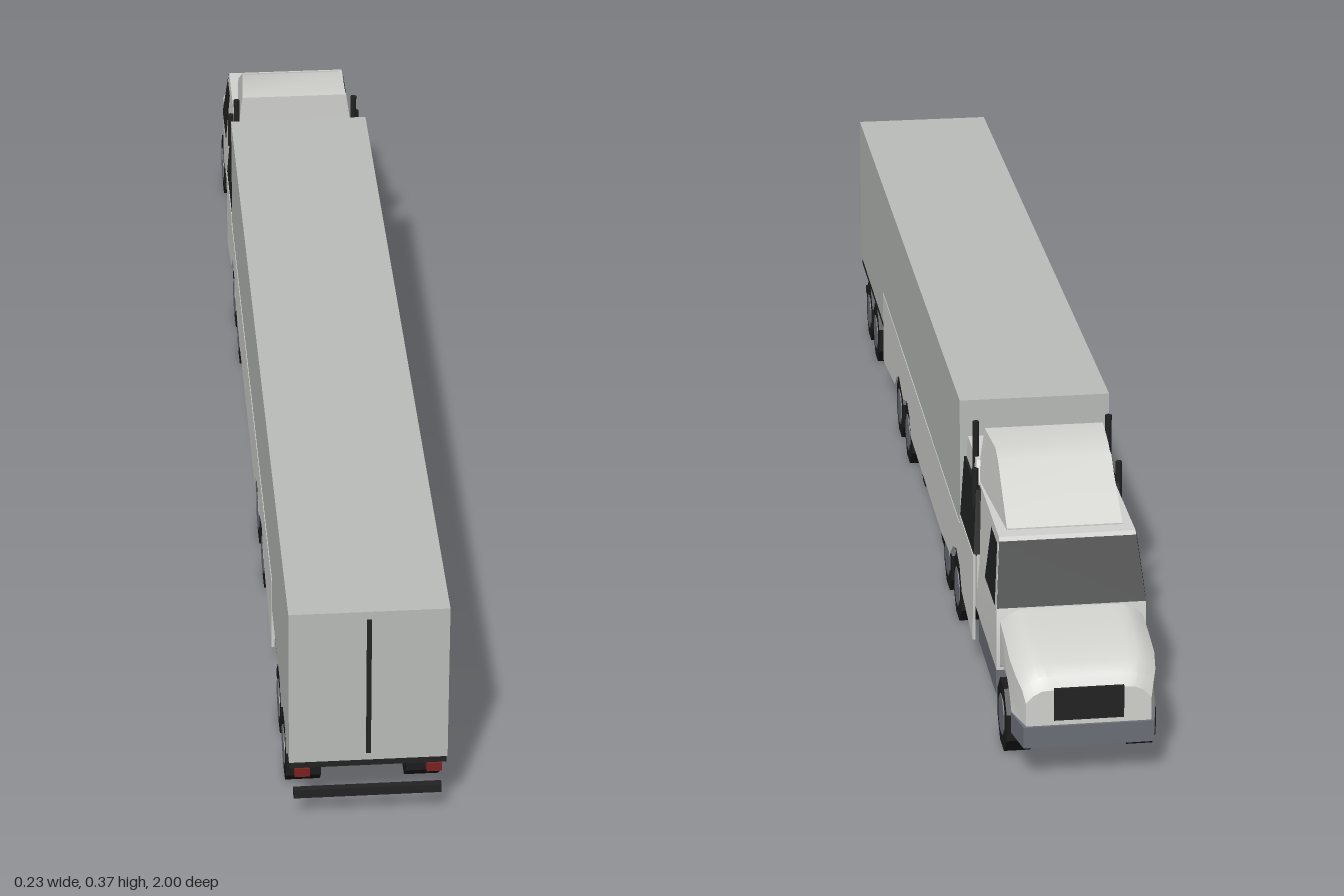
import * as THREE from 'three';
import { toCreasedNormals } from 'three/addons/utils/BufferGeometryUtils.js';

export function createModel() {
  const root = new THREE.Group();
  root.name = 'semiTruck';
  const mat = (name, color, side = THREE.FrontSide) => {
    const m = new THREE.MeshStandardMaterial({ color, side });
    m.name = name;
    return m;
  };
  const trailerPaint = mat('trailerPaint', 0xbabdb9);
  const cabPaint = mat('cabPaint', 0xd2d3cf);
  const black = mat('chassisBlack', 0x232323);
  const rubber = mat('tyreRubber', 0x1c1c1c);
  const glass = mat('darkGlass', 0x202122, THREE.DoubleSide);
  const steel = mat('greySteel', 0x6d7079);
  const red = mat('lampRed', 0x7c2222);

  const add = (name, geo, m) => {
    const mesh = new THREE.Mesh(geo, m);
    mesh.name = name;
    root.add(mesh);
    return mesh;
  };
  // Box from its low and high limits on each axis
  const box = (name, m, x0, x1, y0, y1, z0, z1) =>
    add(name, new THREE.BoxGeometry(x1 - x0, y1 - y0, z1 - z0), m)
      .position.set((x0 + x1) / 2, (y0 + y1) / 2, (z0 + z1) / 2);
  const pair = (name, m, x0, x1, ...rest) => {
    box('left' + name, m, x0, x1, ...rest);
    box('right' + name, m, -x1, -x0, ...rest);
  };
  // Side profile in (z, y), swept across x and reshaped by an optional rule
  const sweep = (profile, halfWidth, rule, steps = 1) => {
    const shape = profile instanceof THREE.Shape ? profile
      : new THREE.Shape(profile.map(p => new THREE.Vector2(...p)));
    const g = new THREE.ExtrudeGeometry(shape, { depth: 2 * halfWidth, bevelEnabled: false, steps, curveSegments: 8 });
    g.translate(0, 0, -halfWidth).rotateY(-Math.PI / 2);
    if (rule) {
      const p = g.attributes.position, v = new THREE.Vector3();
      for (let i = 0; i < p.count; i++) {
        rule(v.fromBufferAttribute(p, i));
        p.setXYZ(i, v.x, v.y, v.z);
      }
    }
    return toCreasedNormals(g, 0.5);
  };
  const panel = pts => {
    const [a, b, c, d] = pts;
    const g = new THREE.BufferGeometry();
    g.setAttribute('position', new THREE.Float32BufferAttribute([a, b, c, a, c, d].flat(), 3));
    g.computeVertexNormals();
    return g;
  };

  // Trailer box, floor and rear door seam
  box('trailerBox', trailerPaint, -0.114, 0.114, 0.112, 0.37, -0.45, 0.998);
  box('trailerFloor', black, -0.113, 0.113, 0.1, 0.112, -0.45, 0.995);
  box('doorSeam', black, -0.0035, 0.0035, 0.125, 0.357, 0.997, 1);

  // Chassis and underbody blocks
  box('midChassis', black, -0.06, 0.06, 0.04, 0.1, -0.6, 0.58);
  box('rearBogie', black, -0.05, 0.05, 0.06, 0.1, 0.68, 0.93);
  box('bogieFrame', black, -0.05, 0.05, 0.045, 0.1, 0.62, 0.68);
  pair('BogieRail', black, 0.06, 0.105, 0.085, 0.1, 0.62, 0.93);
  box('cabChassis', black, -0.07, 0.07, 0.05, 0.1, -0.96, -0.45);
  box('rearBar', black, -0.107, 0.107, 0.043, 0.057, 0.982, 0.992);
  pair('TailLamp', red, 0.084, 0.106, 0.086, 0.1, 0.985, 0.998);
  pair('SkirtEndPlate', cabPaint, 0.05, 0.113, 0.06, 0.1, 0.612, 0.62);
  for (const s of [-1, 1]) {
    const pipe = add('underbodyPipe', new THREE.CylinderGeometry(0.009, 0.009, 0.2, 8), steel);
    pipe.rotation.x = Math.PI / 2;
    pipe.position.set(s * 0.08, 0.043, 0.01);
  }

  // Side skirts with arches over the paired wheels
  const skirt = new THREE.Shape();
  skirt.moveTo(0.62, 0.17);
  for (const p of [[-0.45, 0.17], [-0.45, 0.185], [-0.612, 0.185], [-0.605, 0.045], [-0.475, 0.068],
    [-0.45, 0.1], [-0.41, 0.112], [-0.37, 0.1], [-0.33, 0.07], [-0.22, 0.06], [0.2, 0.06], [0.22, 0.09],
    [0.254, 0.104], [0.316, 0.085], [0.377, 0.104], [0.41, 0.09], [0.44, 0.066], [0.6, 0.045], [0.62, 0.045]])
    skirt.lineTo(...p);
  for (const s of [-1, 1]) add('sideSkirt', sweep(skirt, 0.002), cabPaint).position.x = s * 0.113;

  // Rear section of the cab: dark window band with a light roof block
  const lean = v => { v.x *= 1 - 0.6 * Math.max(0, v.y - 0.185); };
  add('sleeperWindowBand', sweep([[-0.45, 0.183], [-0.61, 0.183], [-0.588, 0.28], [-0.45, 0.28]], 0.114, lean), glass);
  add('sleeperRoof', sweep([[-0.45, 0.28], [-0.57, 0.28], [-0.55, 0.312], [-0.45, 0.312]], 0.11, lean), cabPaint);
  box('sleeperLowerBody', cabPaint, -0.109, 0.109, 0.1, 0.185, -0.61, -0.45);

  // Front cab
  const cabTaper = y => 1 - 0.9 * Math.max(0, y - 0.19);
  add('cabBody', sweep([[-0.5, 0.095], [-0.5, 0.285], [-0.785, 0.285], [-0.828, 0.188], [-0.828, 0.095]],
    0.109, v => { v.x *= cabTaper(v.y); }), cabPaint);

  // Roof fairing, narrower towards the front and the top
  add('roofFairing', sweep([[-0.548, 0.283], [-0.548, 0.362], [-0.63, 0.362], [-0.655, 0.352], [-0.76, 0.287], [-0.76, 0.283]],
    0.1, v => { v.x *= (1 - 0.7 * Math.max(0, -0.548 - v.z)) * (1 - 1.4 * (v.y - 0.283)); }), cabPaint);

  // Windscreen and cab side windows
  const wx = y => 0.109 * cabTaper(y);
  add('windscreen', panel([[-wx(0.192), 0.192, -0.829], [wx(0.192), 0.192, -0.829],
    [wx(0.28), 0.28, -0.79], [-wx(0.28), 0.28, -0.79]]), glass);
  for (const s of [-1, 1]) {
    const at = (z, y) => [s * (wx(y) + 0.0015), y, z];
    add('cabSideWindow', panel([at(-0.71, 0.192), at(-0.818, 0.192), at(-0.784, 0.275), at(-0.72, 0.275)]), glass);
  }

  // Bonnet with wheel arches, rounded shoulders and a curved nose
  const bonnet = new THREE.Shape();
  bonnet.moveTo(-0.82, 0.095);
  for (const p of [[-0.82, 0.19], [-0.88, 0.184], [-0.93, 0.175], [-0.965, 0.164], [-0.985, 0.152], [-0.995, 0.135],
    [-0.996, 0.08], [-0.945, 0.08]]) bonnet.lineTo(...p);
  for (const p of [[-0.928, 0.105], [-0.9, 0.118], [-0.865, 0.118], [-0.835, 0.105]]) bonnet.lineTo(...p);
  add('bonnet', sweep(bonnet, 0.104, v => {
    const edge = Math.max(0, Math.abs(v.x) - 0.07) / 0.034;
    if (v.y > 0.12) v.y -= 0.018 * edge * edge;
    const nose = Math.max(0, (-0.93 - v.z) / 0.066);
    v.x *= 1 - 0.14 * nose * nose;
  }, 16), cabPaint);
  box('grille', black, -0.05, 0.05, 0.09, 0.138, -0.999, -0.993);
  add('frontBumper', sweep([[-1, 0.05], [-1, 0.082], [-0.945, 0.082], [-0.945, 0.05]], 0.104,
    v => { if (v.z < -0.97) v.x *= 0.9; }), steel);

  // Side tanks and exhaust stacks
  pair('SideTank', steel, 0.055, 0.106, 0.045, 0.096, -0.8, -0.61);
  for (const s of [-1, 1]) {
    add('exhaustStack', new THREE.CylinderGeometry(0.005, 0.005, 0.14, 8), black).position.set(s * 0.1, 0.297, -0.531);
    add('shortStack', new THREE.CylinderGeometry(0.005, 0.005, 0.06, 8), black).position.set(s * 0.108, 0.282, -0.582);
  }

  // Wheels: eight-sided tyres with grey hubs
  const wheel = (z, r, x0, x1) => {
    for (const s of [-1, 1]) {
      const g = new THREE.Group();
      g.name = 'wheel';
      const part = (name, radius, width, m) => {
        const geo = new THREE.CylinderGeometry(radius, radius, width, 8).rotateY(Math.PI / 8).rotateZ(Math.PI / 2);
        const mesh = new THREE.Mesh(toCreasedNormals(geo, 0.3), m);
        mesh.name = name;
        g.add(mesh);
      };
      part('tyre', r / Math.cos(Math.PI / 8), x1 - x0, rubber);
      part('hub', r * 0.62, x1 - x0 + 0.003, steel);
      g.position.set(s * (x0 + x1) / 2, r, z);
      root.add(g);
    }
    const axle = add('axle', new THREE.CylinderGeometry(0.01, 0.01, 2 * x0, 8), black);
    axle.rotation.z = Math.PI / 2;
    axle.position.set(0, r, z);
  };
  for (const z of [0.87, 0.757, 0.377, 0.254, -0.29, -0.41]) wheel(z, 0.049, 0.062, 0.113);
  wheel(-0.88, 0.049, 0.07, 0.108);
  for (const z of [0.14, -0.12, -0.175]) wheel(z, 0.036, 0.05, 0.1);
  return root;
}
